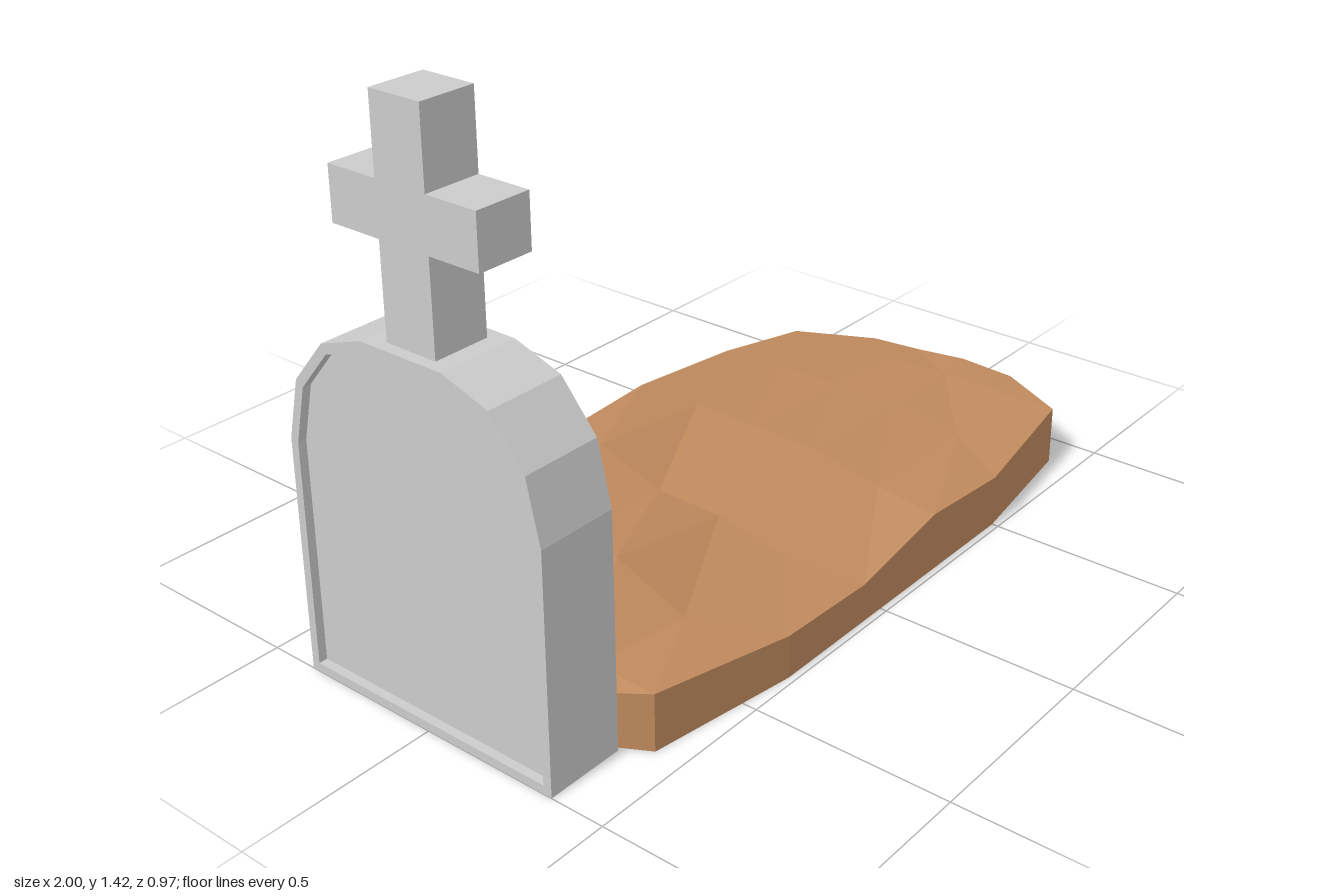
import * as THREE from 'three';

const stone = new THREE.MeshStandardMaterial({ color: 0xcccccc, flatShading: true });
const soil = new THREE.MeshStandardMaterial({ color: 0xc08a5e, flatShading: true });

function named(name, geometry, material) {
  const mesh = new THREE.Mesh(geometry, material);
  mesh.name = name;
  return mesh;
}

// Mirrored outline of an arched slab; half = [halfWidth, y] from foot to crown
function arch(half) {
  const left = half.map(([w, y]) => new THREE.Vector2(-w, y)).reverse();
  return [...half.map(([w, y]) => new THREE.Vector2(w, y)), ...left];
}

// Extrudes a (z, y) shape along x, centred on the given x
function slab(shape, depth, x) {
  const g = new THREE.ExtrudeGeometry(shape, { depth, bevelEnabled: false });
  g.translate(0, 0, -depth / 2);
  g.rotateY(-Math.PI / 2);
  g.translate(x, 0, -0.006);
  return g;
}

// Headstone: rim with a recessed panel on both faces
function headstone() {
  const group = new THREE.Group();
  group.name = 'headstone';
  const outer = arch([[0.367, 0], [0.367, 0.585], [0.332, 0.735], [0.24, 0.845], [0.115, 0.887]]);
  const inner = arch([[0.345, 0.022], [0.345, 0.58], [0.312, 0.722], [0.227, 0.824], [0.112, 0.862]]);
  const rim = new THREE.Shape(outer);
  rim.holes.push(new THREE.Path(inner));
  group.add(named('stoneRim', slab(rim, 0.204, -0.898), stone));
  group.add(named('stonePanel', slab(new THREE.Shape(inner), 0.16, -0.898), stone));
  return group;
}

// Cross on top of the headstone
function cross() {
  const [w, a, y0, y1, y2, y3] = [0.07, 0.206, 0.87, 1.11, 1.237, 1.42];
  const outline = arch([[w, y0], [w, y1], [a, y1], [a, y2], [w, y2], [w, y3]]);
  return named('cross', slab(new THREE.Shape(outline), 0.142, -0.9), stone);
}

// Earth mound: cross-sections along x, each with six heights from back to front
function mound() {
  const full = [-0.487, -0.29, -0.1, 0.09, 0.29, 0.483];
  const taper = [-0.43, -0.265, -0.09, 0.08, 0.26, 0.425];
  const end = [-0.23, -0.23, -0.08, 0.07, 0.225, 0.225]; // corners cut off
  const sections = [
    { x: -0.86, z: end, y: [0.125, 0.125, 0.125, 0.125, 0.125, 0.125] },
    { x: -0.75, z: taper, y: [0.145, 0.15, 0.14, 0.15, 0.15, 0.145] },
    { x: -0.49, z: full, y: [0.13, 0.17, 0.16, 0.225, 0.145, 0.11], front: -0.36 },
    { x: -0.12, z: full, y: [0.165, 0.23, 0.165, 0.165, 0.13, 0.1], front: -0.07 },
    { x: 0.26, z: full, y: [0.185, 0.188, 0.187, 0.185, 0.15, 0.155], front: 0.22 },
    { x: 0.63, z: full, y: [0.15, 0.165, 0.165, 0.17, 0.14, 0.135], front: 0.5 },
    { x: 0.885, z: taper, y: [0.137, 0.14, 0.15, 0.158, 0.153, 0.156] },
    { x: 1, z: end, y: [0.13, 0.13, 0.14, 0.155, 0.148, 0.148] },
  ];
  const grid = sections.map((s) => s.z.map((z, j) =>
    new THREE.Vector3(j === 5 && s.front !== undefined ? s.front : s.x, s.y[j], z)));

  const pos = [];
  const tri = (a, b, c) => {
    if (a.equals(b) || b.equals(c) || a.equals(c)) return;
    for (const p of [a, b, c]) pos.push(p.x, p.y, p.z);
  };
  // Top surface
  const last = grid.length - 1;
  for (let i = 0; i < last; i++) {
    for (let j = 0; j < 5; j++) {
      const a = grid[i][j], b = grid[i][j + 1], c = grid[i + 1][j], d = grid[i + 1][j + 1];
      tri(a, b, c);
      tri(b, d, c);
    }
  }
  // Side walls and underside, following the border
  const border = [
    ...grid.map((r) => r[5]),
    ...grid[last].slice(0, 5).reverse(),
    ...grid.slice(0, last).reverse().map((r) => r[0]),
    ...grid[0].slice(1, 5),
  ];
  const foot = (p) => new THREE.Vector3(p.x, 0, p.z);
  const centre = new THREE.Vector3(0.07, 0, 0);
  border.forEach((p, i) => {
    const q = border[(i + 1) % border.length];
    if (p.equals(q)) return;
    tri(foot(p), foot(q), q);
    tri(foot(p), q, p);
    tri(foot(q), foot(p), centre);
  });
  const g = new THREE.BufferGeometry();
  g.setAttribute('position', new THREE.Float32BufferAttribute(pos, 3));
  g.computeVertexNormals();
  return named('earthMound', g, soil);
}

export function createModel() {
  const model = new THREE.Group();
  model.name = 'grave';
  model.add(headstone(), cross(), mound());
  return model;
}
